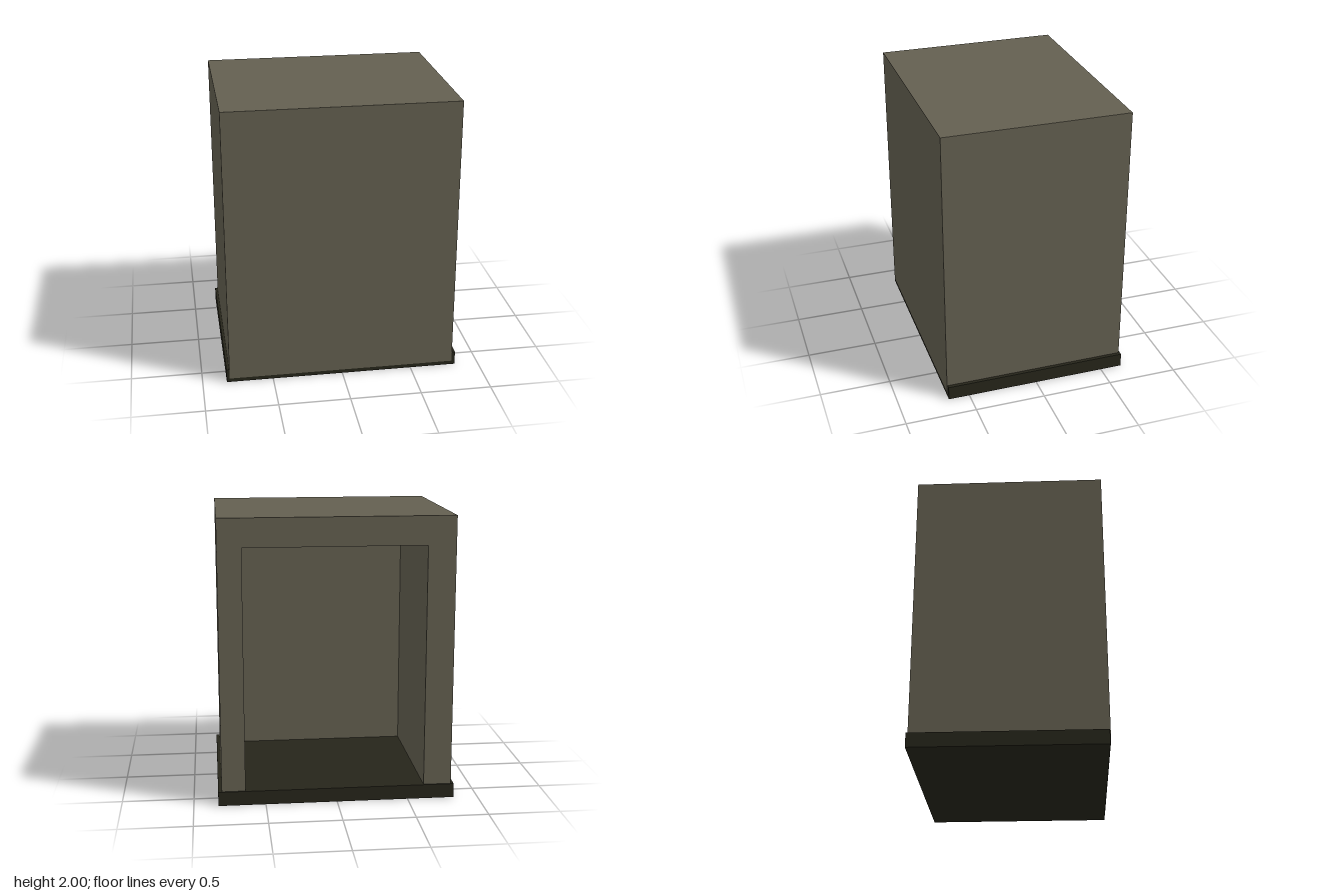
import * as THREE from 'three';

export function createModel() {
  const model = new THREE.Group();
  model.name = 'booth';
  const wallMaterial = new THREE.MeshStandardMaterial({ color: 0x635f50 });
  const baseMaterial = new THREE.MeshStandardMaterial({ color: 0x26251a });

  const add = (name, geometry, material, x, y, z) => {
    const mesh = new THREE.Mesh(geometry, material);
    mesh.name = name;
    mesh.position.set(x, y, z);
    model.add(mesh);
  };

  // Outer limits of the shell, and of the opening in its back
  const left = 0.805, right = -0.81, bottom = 0.03, top = 2;
  const back = -0.645, front = 0.655, innerFront = 0.455;
  const openLeft = 0.64, openRight = -0.615, openTop = 1.8;

  // Side walls and roof: an upside-down U, open at the back
  const arch = new THREE.Shape([
    [right, bottom], [openRight, bottom], [openRight, openTop], [openLeft, openTop],
    [openLeft, bottom], [left, bottom], [left, top], [right, top],
  ].map(([x, y]) => new THREE.Vector2(x, y)));
  const archGeometry = new THREE.ExtrudeGeometry(arch, { depth: innerFront - back, bevelEnabled: false });
  add('wallsAndRoof', archGeometry, wallMaterial, 0, 0, back);

  // Solid front wall
  add('frontWall', new THREE.BoxGeometry(left - right, top - bottom, front - innerFront), wallMaterial,
    (left + right) / 2, (top + bottom) / 2, (front + innerFront) / 2);

  // Floor slab, slightly wider than the shell
  add('floorSlab', new THREE.BoxGeometry(1.66, 0.1, 1.305), baseMaterial, 0, 0.05, -0.0025);

  return model;
}
